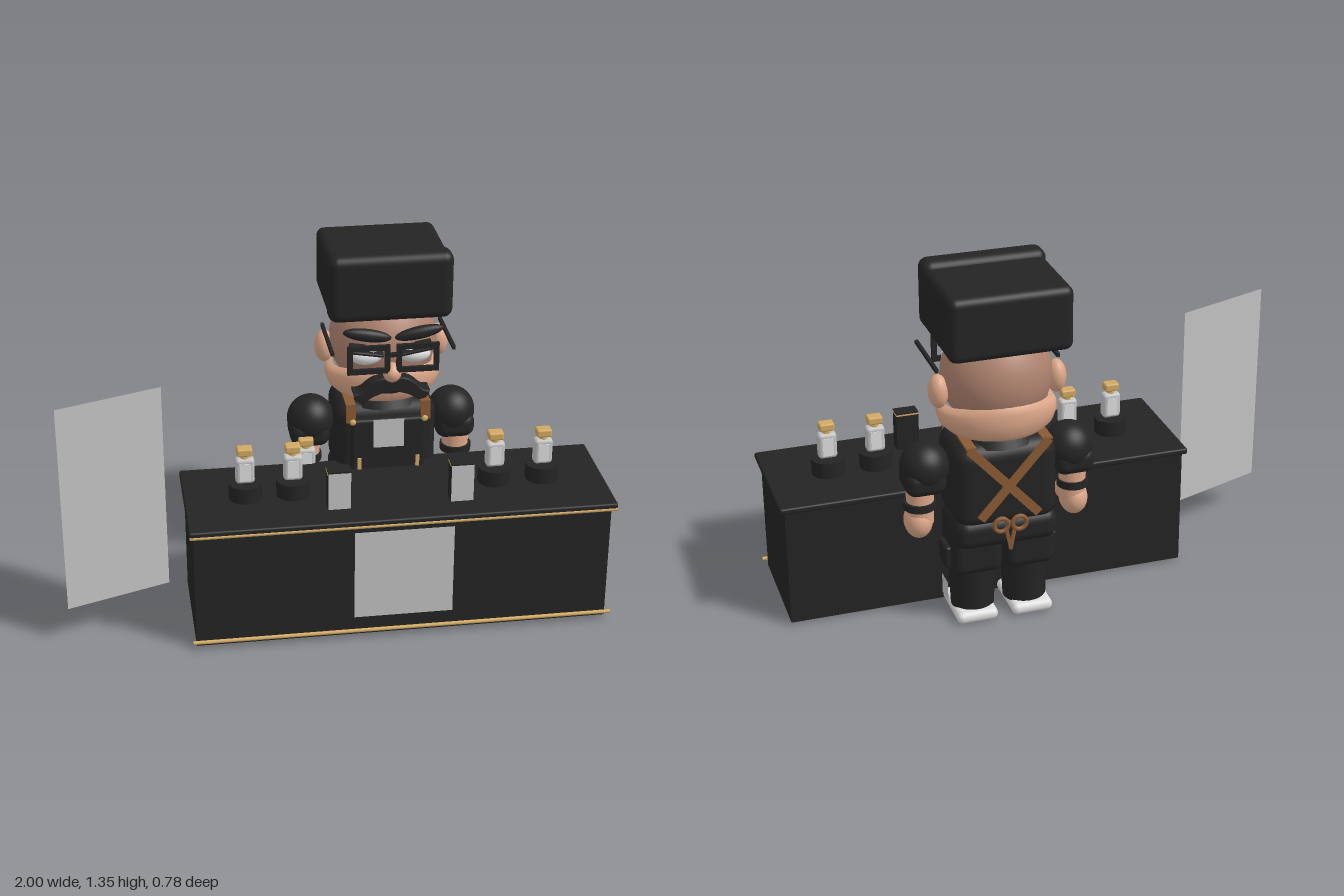
import * as THREE from 'three';
import { RoundedBoxGeometry } from 'three/addons/geometries/RoundedBoxGeometry.js';

const mat = (name, color, side = THREE.FrontSide) => {
  const m = new THREE.MeshStandardMaterial({ color, side });
  m.name = name;
  return m;
};

export function createModel() {
  const black = mat('black', 0x242424);
  const skin = mat('skin', 0xdba688);
  const scalp = mat('scalp', 0xad826e);
  const gold = mat('gold', 0xd0a860);
  const leather = mat('leather', 0x8a5a32);
  const white = mat('white', 0xdedede);
  const grey = mat('grey', 0xc2c2c2, THREE.DoubleSide);

  const root = new THREE.Group();
  const add = (parent, name, geo, m, x = 0, y = 0, z = 0) => {
    const mesh = new THREE.Mesh(geo, m);
    mesh.name = name;
    mesh.position.set(x, y, z);
    parent.add(mesh);
    return mesh;
  };
  const group = (parent, name, x = 0, y = 0, z = 0) => {
    const g = new THREE.Group();
    g.name = name;
    g.position.set(x, y, z);
    parent.add(g);
    return g;
  };
  const box = (w, h, d) => new THREE.BoxGeometry(w, h, d);
  const rbox = (w, h, d, r) => new RoundedBoxGeometry(w, h, d, 4, r);
  const cyl = (r1, r2, h, n = 32) => new THREE.CylinderGeometry(r1, r2, h, n);
  const ball = (x, y, z) => new THREE.SphereGeometry(1, 32, 20).scale(x, y, z);

  // Counter with gold rails and a front panel
  const counter = group(root, 'counter');
  add(counter, 'counterBody', box(1.525, 0.46, 0.445), black, 0.2175, 0.238, 0.148);
  add(counter, 'counterTop', rbox(1.56, 0.024, 0.485, 0.008), black, 0.22, 0.477, 0.147);
  for (const y of [0.466, 0.03]) {
    add(counter, 'goldRail', cyl(0.007, 0.007, 1.555, 12).rotateZ(Math.PI / 2), gold, 0.22, y, 0.385);
  }
  add(counter, 'frontPanel', new THREE.PlaneGeometry(0.365, 0.355), grey, 0.2175, 0.2575, 0.373);

  // Free-standing sheet beside the counter
  const banner = add(root, 'sideBanner', new THREE.PlaneGeometry(0.4, 0.805), grey, -0.8125, 0.5425, 0.197);
  banner.rotation.y = Math.atan2(0.135, 0.375);

  // Bottles
  const bottle = (parent, x, y, z) => {
    const g = group(parent, 'bottle', x, y, z);
    add(g, 'glass', rbox(0.07, 0.1, 0.045, 0.014), grey, 0, 0.052, 0);
    add(g, 'label', box(0.04, 0.07, 0.05), white, 0, 0.05, 0);
    add(g, 'neck', cyl(0.013, 0.016, 0.025, 16), gold, 0, 0.11, 0);
    add(g, 'cap', rbox(0.056, 0.03, 0.045, 0.007), gold, 0, 0.127, 0);
    return g;
  };
  for (const x of [-0.335, -0.16, 0.59, 0.77]) {
    add(root, 'bottleStand', cyl(0.061, 0.061, 0.062), black, x, 0.519, 0.145);
    bottle(root, x, 0.55, 0.145);
  }

  // Small cartons on the counter
  for (const x of [-0.008, 0.442]) {
    const g = group(root, 'carton', x, 0.488, 0.26);
    add(g, 'cartonBody', box(0.085, 0.152, 0.054), black, 0, 0.076, 0);
    add(g, 'cartonBand', box(0.087, 0.006, 0.054), gold, 0, 0.144, -0.001);
    add(g, 'cartonFace', new THREE.PlaneGeometry(0.083, 0.145), grey, 0, 0.0745, 0.0285);
  }

  const man = group(root, 'shopkeeper', 0.22);

  // Torso, apron and collar
  add(man, 'torso', rbox(0.38, 0.33, 0.28, 0.06), black, 0, 0.57, -0.185);
  add(man, 'hips', rbox(0.38, 0.12, 0.24, 0.045), black, 0, 0.385, -0.205);
  add(man, 'collar', cyl(0.12, 0.15, 0.05), black, 0, 0.742, -0.18);
  add(man, 'apronBib', rbox(0.28, 0.3, 0.04, 0.012), black, 0, 0.54, -0.03);
  add(man, 'apronSkirt', rbox(0.36, 0.14, 0.035, 0.012), black, 0, 0.42, -0.057);
  add(man, 'apronBadge', new THREE.PlaneGeometry(0.115, 0.115), grey, 0, 0.633, -0.008);

  // Head: skull plus a wider jaw with a wavy upper edge
  add(man, 'skull', ball(0.2, 0.2, 0.195), scalp, 0, 0.955, -0.18);
  const jawProfile = [[0, 0.755], [0.7, 0.755], [0.84, 0.763], [0.95, 0.787], [1, 0.825], [0.99, 0.855], [0.95, 0.875], [0.86, 0.885]];
  const jawGeo = new THREE.LatheGeometry(jawProfile.map(([r, y]) => new THREE.Vector2(r, y)), 64);
  const p = jawGeo.attributes.position;
  for (let i = 0; i < p.count; i++) {
    const x = p.getX(i), y = p.getY(i), z = p.getZ(i);
    const wave = Math.cos(2 * Math.atan2(x, z)) * Math.max(0, (y - 0.8) / 0.085);
    p.setXYZ(i, x * 0.217, y + 0.025 * wave, z * 0.198);
  }
  jawGeo.computeVertexNormals();
  add(man, 'jaw', jawGeo, skin, 0, 0, -0.18);
  add(man, 'nose', ball(0.034, 0.036, 0.04), skin, 0, 0.905, 0.04);
  add(man, 'mouth', ball(0.045, 0.01, 0.012), black, 0, 0.818, 0.013);

  // Drooping moustache
  const m = new THREE.Shape();
  m.moveTo(0, 0.872);
  m.quadraticCurveTo(0.05, 0.895, 0.09, 0.85);
  m.quadraticCurveTo(0.115, 0.82, 0.135, 0.822);
  m.quadraticCurveTo(0.13, 0.797, 0.1, 0.798);
  m.quadraticCurveTo(0.06, 0.83, 0, 0.835);
  m.quadraticCurveTo(-0.06, 0.83, -0.1, 0.798);
  m.quadraticCurveTo(-0.13, 0.797, -0.135, 0.822);
  m.quadraticCurveTo(-0.115, 0.82, -0.09, 0.85);
  m.quadraticCurveTo(-0.05, 0.895, 0, 0.872);
  add(man, 'moustache', new THREE.ExtrudeGeometry(m, {
    depth: 0.06, bevelSize: 0.006, bevelThickness: 0.01, bevelSegments: 3, curveSegments: 10,
  }), black, 0, 0, -0.02);

  // Tall square hat with a raised front flap
  add(man, 'hatCrown', rbox(0.445, 0.235, 0.38, 0.03), black, 0, 1.2075, -0.197);
  add(man, 'hatFlap', rbox(0.455, 0.255, 0.1, 0.035), black, 0, 1.22, -0.03);

  // Spectacle rim outline
  const rect = (Type, w, h) => {
    const s = new Type();
    s.moveTo(-w, -h); s.lineTo(w, -h); s.lineTo(w, h); s.lineTo(-w, h); s.closePath();
    return s;
  };
  const rim = rect(THREE.Shape, 0.078, 0.055);
  rim.holes.push(rect(THREE.Path, 0.059, 0.036));
  const rimGeo = new THREE.ExtrudeGeometry(rim, { depth: 0.014, bevelEnabled: false });
  add(man, 'glassesBridge', box(0.03, 0.014, 0.014), black, 0, 0.985, 0.062);

  for (const s of [-1, 1]) {
    // Face
    add(man, 'ear', ball(0.036, 0.062, 0.045), skin, s * 0.217, 0.92, -0.2);
    add(man, 'eye', ball(0.058, 0.032, 0.035), white, s * 0.09, 0.96, 0.005);
    const lid = add(man, 'eyelid', rbox(0.125, 0.012, 0.06, 0.005), black, s * 0.09, 0.985, 0.01);
    lid.rotation.set(0.25, 0, s * 0.2);
    add(man, 'glassesRim', rimGeo, black, s * 0.09, 0.97, 0.055);
    add(man, 'glassesTemple', box(0.012, 0.014, 0.275), black, s * 0.222, 1.0, -0.073);
    const brow = add(man, 'eyebrow', ball(0.09, 0.024, 0.022), black, s * 0.095, 1.063, 0.053);
    brow.rotation.z = s * 0.18;

    // Arms
    add(man, 'sleeve', ball(0.09, 0.092, 0.09), black, s * 0.27, 0.63, -0.185);
    add(man, 'sleeveCuff', rbox(0.15, 0.1, 0.16, 0.04), black, s * 0.278, 0.585, -0.185);
    add(man, 'forearm', cyl(0.052, 0.048, 0.17), skin, s * 0.288, 0.49, -0.178);
    add(man, 'armBand', cyl(0.059, 0.059, 0.028), black, s * 0.29, 0.478, -0.178);
    add(man, 'hand', ball(0.052, 0.066, 0.066), skin, s * 0.295, 0.408, -0.17);
    add(man, 'thumb', ball(0.022, 0.04, 0.025), skin, s * 0.265, 0.42, -0.115);

    // Legs and shoes
    add(man, 'thigh', rbox(0.185, 0.23, 0.19, 0.035), black, s * 0.1, 0.315, -0.185);
    add(man, 'shin', cyl(0.088, 0.08, 0.18), black, s * 0.1, 0.13, -0.18);
    add(man, 'legPocket', rbox(0.03, 0.085, 0.095, 0.01), black, s * 0.197, 0.262, -0.182);
    add(man, 'trouserTag', new THREE.PlaneGeometry(0.08, 0.08).rotateY(Math.PI / 2), grey, s * 0.19, 0.085, -0.132);
    add(man, 'shoe', rbox(0.155, 0.046, 0.23, 0.022), white, s * 0.105, 0.024, -0.168);
    add(man, 'sole', rbox(0.125, 0.01, 0.2, 0.004), grey, s * 0.105, 0.005, -0.168);

    // Straps: front drop, over the shoulder, crossing on the back
    add(man, 'frontStrap', box(0.036, 0.075, 0.012), leather, s * 0.14, 0.715, -0.025);
    add(man, 'shoulderStrap', box(0.036, 0.008, 0.315), leather, s * 0.14, 0.746, -0.183);
    const back = add(man, 'backStrap', box(0.032, 0.38, 0.008), leather, s * 0.02, 0.6, -0.337 - s * 0.004);
    back.rotation.z = -s * 0.73;
    add(man, 'strapBuckle', ball(0.012, 0.012, 0.008), gold, s * 0.135, 0.685, -0.009);
    add(man, 'apronClip', box(0.014, 0.045, 0.008), gold, s * 0.11, 0.512, -0.008);

    // Scissors hanging at the back
    add(man, 'scissorRing', new THREE.TorusGeometry(0.026, 0.008, 10, 24), leather, s * 0.034, 0.43, -0.342);
    const blade = add(man, 'scissorBlade', box(0.013, 0.09, 0.008), leather, s * 0.008, 0.372, -0.342);
    blade.rotation.z = -s * 0.2;
  }

  // Bottle held in the right hand
  bottle(man, -0.3, 0.448, -0.1);
  return root;
}
